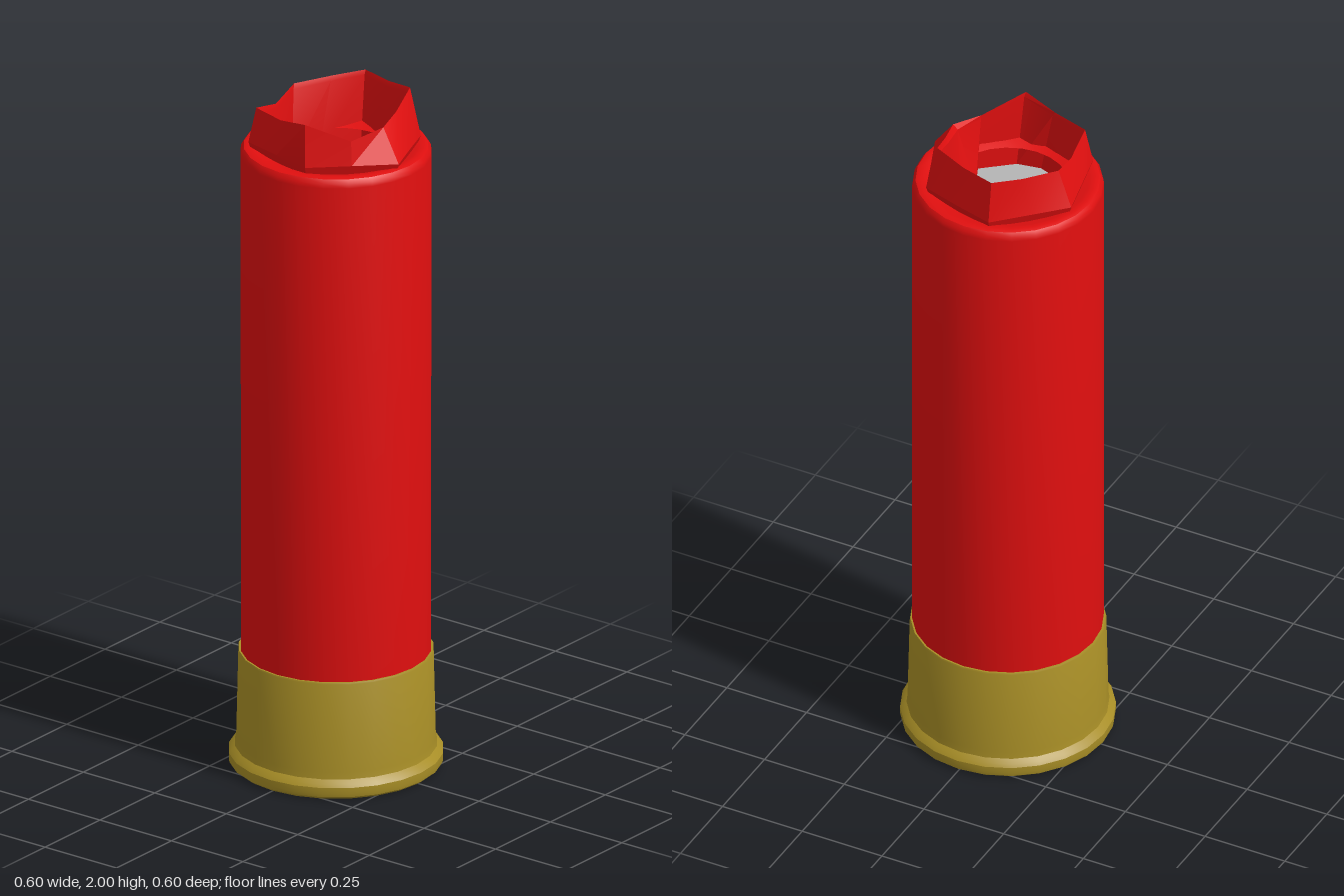
import * as THREE from 'three';
import { toCreasedNormals } from 'three/addons/utils/BufferGeometryUtils.js';

const V = (points) => points.map(([x, y]) => new THREE.Vector2(x, y));

export function createModel() {
  const red = new THREE.MeshStandardMaterial({ color: 0xe00f0f, side: THREE.DoubleSide });
  red.name = 'red plastic';
  const brass = new THREE.MeshStandardMaterial({ color: 0xa88e26 });
  brass.name = 'brass';
  const grey = new THREE.MeshStandardMaterial({ color: 0xb4b4b4 });
  grey.name = 'grey metal';

  const group = new THREE.Group();
  const add = (name, geometry, material) => {
    const mesh = new THREE.Mesh(geometry, material);
    mesh.name = name;
    group.add(mesh);
  };
  const turned = (profile) => toCreasedNormals(new THREE.LatheGeometry(V(profile), 24), 0.6);

  // Brass head with a flared rim and a hole for the primer
  add('brassHead', turned([
    [0.11, 0.012], [0.11, 0], [0.288, 0], [0.298, 0.008], [0.3, 0.018], [0.3, 0.036],
    [0.293, 0.045], [0.282, 0.055], [0.279, 0.075], [0.273, 0.335], [0.271, 0.34], [0.262, 0.34],
  ]), brass);
  add('primer', turned([[0, 0.004], [0.11, 0.004]]), grey);

  // Plastic tube with a rounded shoulder
  add('tube', turned([
    [0.266, 0.33], [0.267, 1.82], [0.265, 1.833], [0.257, 1.844], [0.245, 1.847], [0.225, 1.843], [0.17, 1.825],
  ]), red);

  // Crumpled mouth: [x, z] outside, [x, y, z] along the lip, [x, z] inside
  const outside = [
    [-0.06, -0.23], [0.055, -0.2], [0.17, -0.165], [0.21, -0.06], [0.25, 0.04], [0.155, 0.13],
    [0.06, 0.22], [-0.06, 0.193], [-0.18, 0.165], [-0.205, 0.05], [-0.23, -0.06], [-0.145, -0.145],
  ];
  const lip = [
    [-0.06, 1.985, -0.213], [0.04, 1.985, -0.186], [0.14, 2, -0.155], [0.165, 1.965, -0.06],
    [0.185, 1.95, 0.025], [0.148, 1.93, 0.124], [0.055, 1.985, 0.212], [-0.05, 1.965, 0.187],
    [-0.16, 1.965, 0.155], [-0.172, 1.94, 0.05], [-0.185, 1.965, -0.05], [-0.12, 1.975, -0.145],
  ];
  const inside = [
    [-0.06, -0.19], [0.05, -0.15], [0.115, -0.135], [0.12, -0.05], [0.12, 0.035], [0.155, 0.115],
    [0.07, 0.185], [0, 0.198], [-0.13, 0.15], [-0.155, 0.05], [-0.17, -0.02], [-0.13, -0.09],
  ];
  const n = outside.length;
  const rings = [
    outside.map(([x, z]) => [x * 0.95, 1.825, z * 0.95]),
    outside.map(([x, z]) => [x, 1.86, z]),
    lip,
    lip.map(([x, y, z], i) => [x * 0.8 + inside[i][0] * 0.2, y - 0.015, z * 0.8 + inside[i][1] * 0.2]),
    inside.map(([x, z]) => [x, 1.75, z]),
  ];
  const index = [];
  for (let r = 0; r < rings.length - 1; r++) {
    for (let i = 0; i < n; i++) {
      const a = r * n + i, b = r * n + (i + 1) % n;
      index.push(a, a + n, b, b, a + n, b + n);
    }
  }
  const mouth = new THREE.BufferGeometry();
  mouth.setAttribute('position', new THREE.Float32BufferAttribute(rings.flat(2), 3));
  mouth.setIndex(index);
  add('crumpledMouth', toCreasedNormals(mouth, 0.35), red);

  // Grey floor closing the mouth
  const floorShape = new THREE.Shape(V(inside.map(([x, z]) => [x, -z])));
  const floor = new THREE.ShapeGeometry(floorShape).rotateX(-Math.PI / 2).translate(0, 1.75, 0);
  add('mouthFloor', floor, grey);

  return group;
}
